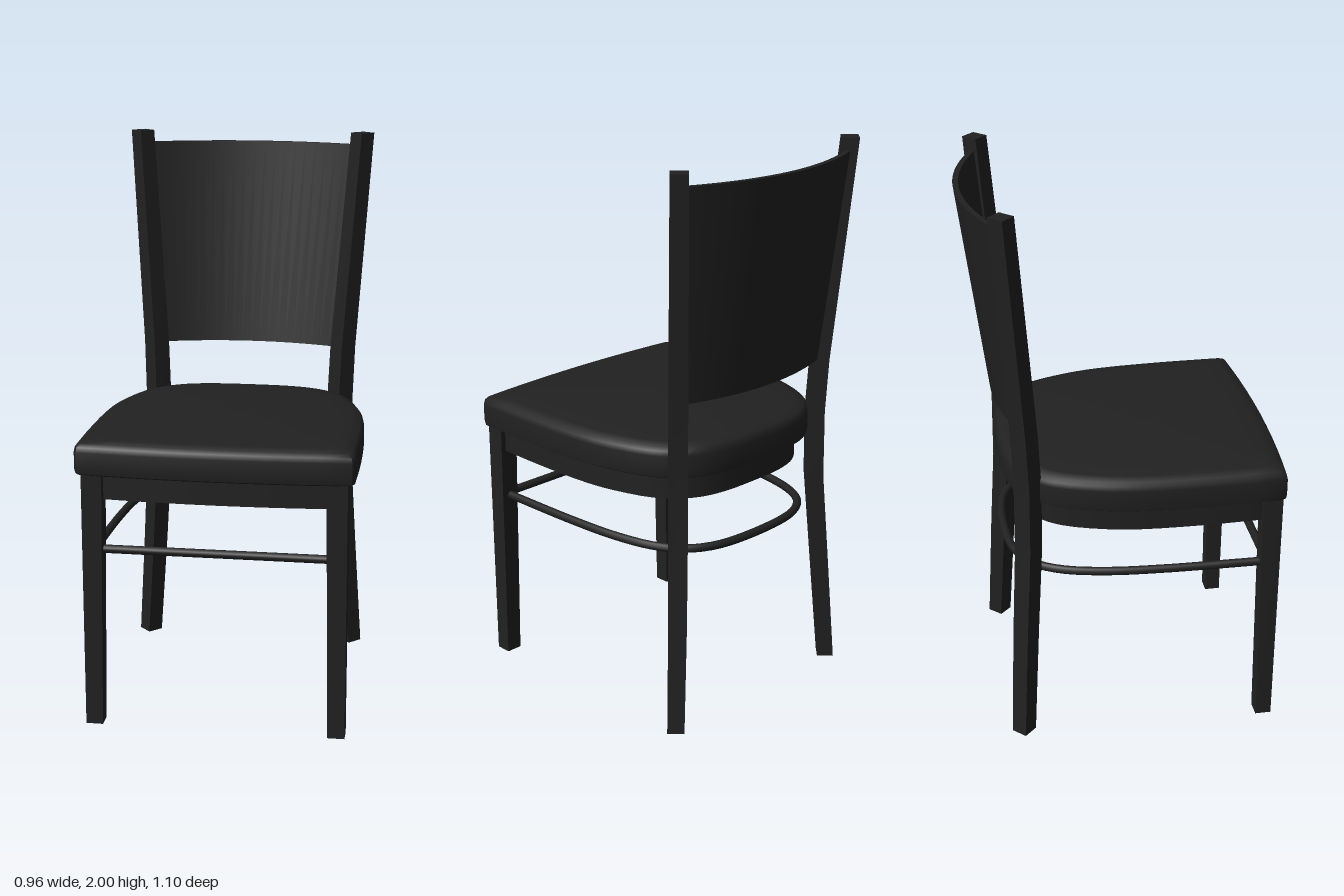
import * as THREE from 'three';
import { toCreasedNormals } from 'three/addons/utils/BufferGeometryUtils.js';

const V2 = (x, z) => new THREE.Vector2(x, -z); // plan point, seen from above

// Closed solid through plan outlines stacked upwards: [{ y, pts }]
function loft(rings, crease = 0.6) {
  const n = rings[0].pts.length;
  const pos = [], idx = [];
  for (const r of rings) {
    const y = typeof r.y === 'function' ? r.y : () => r.y;
    r.pts.forEach((p) => pos.push(p.x, y(p), -p.y));
  }
  for (let k = 0; k < rings.length - 1; k++) {
    for (let i = 0; i < n; i++) {
      const a = k * n + i, b = k * n + (i + 1) % n;
      idx.push(a, b, b + n, a, b + n, a + n);
    }
  }
  const cap = (ring, offset, flip) => {
    for (const [a, b, c] of THREE.ShapeUtils.triangulateShape(ring.pts, [])) {
      if (flip) idx.push(offset + c, offset + b, offset + a);
      else idx.push(offset + a, offset + b, offset + c);
    }
  };
  cap(rings[0], 0, true);
  cap(rings[rings.length - 1], (rings.length - 1) * n, false);
  const g = new THREE.BufferGeometry();
  g.setAttribute('position', new THREE.Float32BufferAttribute(pos, 3));
  g.setIndex(idx);
  return toCreasedNormals(g, crease);
}

// Anticlockwise copy of an outline
const ccw = (pts) => (THREE.ShapeUtils.area(pts) < 0 ? pts.slice().reverse() : pts);

// Mirror half an open path (ending on x = 0) to the other side
const mirrored = (half) => [...half, ...half.slice(0, -1).reverse().map(([x, z]) => [-x, z])];

function smooth(points, count, y = 0) {
  const c = new THREE.CatmullRomCurve3(points.map(([x, z]) => new THREE.Vector3(x, y, z)), false, 'centripetal');
  return count ? c.getPoints(count) : c;
}

// D-shaped seat plan: rounded back, gently bowed front
function seatOutline() {
  const sides = mirrored([[0.48, 0.505], [0.482, 0.25], [0.47, 0], [0.445, -0.13], [0.39, -0.28],
    [0.33, -0.355], [0.25, -0.405], [0.15, -0.429], [0, -0.435]]);
  const front = [];
  for (let i = 0; i <= 10; i++) {
    const u = -1 + i / 5;
    front.push(V2(u * 0.47, 0.545 - 0.023 * u * u));
  }
  return ccw([...smooth(sides, 48).map((p) => V2(p.x, p.z)), ...front]);
}

const scaled = (pts, s) => pts.map((p) => V2(p.x * s, 0.05 + (-p.y - 0.05) * s));
const rect = (x, z, w, d) => ccw([V2(x - w, z - d), V2(x + w, z - d), V2(x + w, z + d), V2(x - w, z + d)]);
const diamond = (x, z, r) => ccw([V2(x - r, z), V2(x, z - r), V2(x + r, z), V2(x, z + r)]);

export function createModel() {
  const chair = new THREE.Group();
  chair.name = 'chair';
  const black = new THREE.MeshStandardMaterial({ color: 0x212121 });
  black.name = 'black';
  const add = (name, geometry) => {
    const m = new THREE.Mesh(geometry, black);
    m.name = name;
    chair.add(m);
    return m;
  };

  // Padded seat with soft edges and a slight dome
  const outline = seatOutline();
  add('seat', loft([[0.975, 0.918], [0.995, 0.924], [1, 0.94], [1, 1.0], [0.992, 1.018], [0.97, 1.03],
    [0.9, 1.037], [0.75, 1.045], [0.5, 1.052], [0.2, 1.056]]
    .map(([s, y]) => ({ y, pts: scaled(outline, s) })), 0.8));

  // Hollow apron under the seat
  const apronShape = new THREE.Shape(scaled(outline, 0.91));
  apronShape.holes.push(new THREE.Path(scaled(outline, 0.84)));
  const apron = new THREE.ExtrudeGeometry(apronShape, { depth: 0.095, bevelEnabled: false });
  apron.rotateX(-Math.PI / 2);
  apron.translate(0, 0.827, 0);
  add('apron', toCreasedNormals(apron, 0.6));

  // Legs; the rear ones continue up as the back posts
  const postPath = [[0, 0.403, -0.41, 0.043], [0.4, 0.375, -0.39, 0.046], [0.75, 0.353, -0.37, 0.048],
    [1.0, 0.352, -0.368, 0.048], [1.2, 0.359, -0.377, 0.047], [2.0, 0.415, -0.437, 0.043]];
  for (const [side, s] of [['left', 1], ['right', -1]]) {
    add(side + 'FrontLeg', loft([
      { y: 0, pts: rect(s * 0.428, 0.478, 0.03, 0.029) },
      { y: 0.925, pts: rect(s * 0.42, 0.48, 0.036, 0.035) },
    ], 0.3));
    add(side + 'RearLegAndPost', loft(
      postPath.map(([y, x, z, r]) => ({ y, pts: diamond(s * x, z, r) })), 0.3));
  }

  // Curved back panel, wider and further back at the top
  const panelRing = (y, half, apex, depth) => {
    const back = [], front = [];
    for (let i = 0; i <= 20; i++) {
      const u = -1 + i / 10;
      const z = apex + depth * u * u;
      back.push(V2(u * half, z));
      front.unshift(V2(u * half, z + 0.02));
    }
    return { y, pts: ccw([...back, ...front]) };
  };
  add('backPanel', loft([panelRing(1.2, 0.335, -0.45, 0.06), panelRing(1.955, 0.392, -0.55, 0.092)], 0.5));

  // Straight front stretcher and the hoop running round the other sides
  const rail = new THREE.CylinderGeometry(0.015, 0.015, 0.8, 12);
  rail.rotateZ(Math.PI / 2);
  add('frontStretcher', rail).position.set(0, 0.645, 0.475);
  const hoop = smooth(mirrored([[0.42, 0.47], [0.41, 0.1], [0.392, -0.1], [0.355, -0.25], [0.3, -0.34],
    [0.2, -0.4], [0, -0.422]]), 0, 0.645);
  add('hoopStretcher', new THREE.TubeGeometry(hoop, 64, 0.015, 10, false));

  return chair;
}
